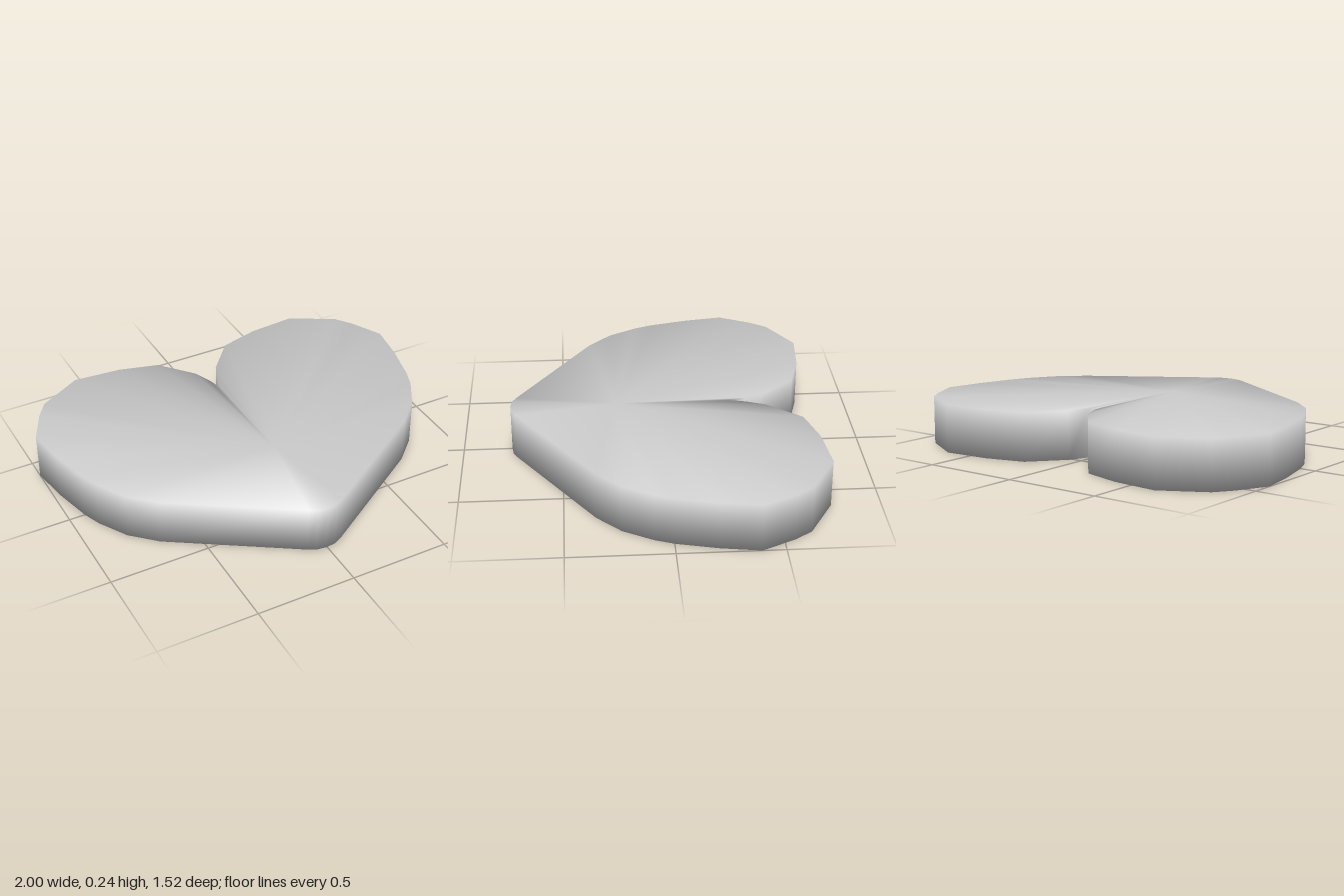
import * as THREE from 'three';

const HEIGHT = 0.24;

// Half outline of the heart as [x, z], from the notch at the back to the front tip
const half = [
  [0, -0.33], [0.02, -0.42], [0.06, -0.52], [0.2, -0.685], [0.4, -0.74], [0.64, -0.76],
  [0.86, -0.635], [0.92, -0.55], [1, -0.39], [0.97, -0.2], [0.92, 0], [0.885, 0.09],
  [0.8, 0.235], [0.68, 0.35], [0.09, 0.73], [0.05, 0.75], [0, 0.757],
];

function heartGeometry() {
  // Mirror the inner points to close the loop
  const mirrored = half.slice(1, -1).reverse().map(([x, z]) => [-x, z]);
  const outline = [...half, ...mirrored];
  const n = outline.length;
  const positions = [];
  const indices = [];

  // Top ring, bottom ring, then the two cap centres
  for (const y of [HEIGHT, 0]) {
    for (const [x, z] of outline) positions.push(x, y, z);
  }
  positions.push(0, HEIGHT, 0.23, 0, 0, 0.23);
  const topCentre = 2 * n;
  const bottomCentre = 2 * n + 1;

  for (let a = 0; a < n; a++) {
    const b = (a + 1) % n;
    indices.push(topCentre, b, a);
    indices.push(bottomCentre, n + a, n + b);
    indices.push(a, b, n + b, a, n + b, n + a);
  }

  // Rings are shared by caps and wall, giving soft shading over the rim
  const geometry = new THREE.BufferGeometry();
  geometry.setAttribute('position', new THREE.Float32BufferAttribute(positions, 3));
  geometry.setIndex(indices);
  geometry.computeVertexNormals();
  return geometry;
}

export function createModel() {
  const group = new THREE.Group();
  group.name = 'heart';
  const body = new THREE.Mesh(heartGeometry(), new THREE.MeshStandardMaterial({ color: 0xcccccc }));
  body.name = 'heartBody';
  group.add(body);
  return group;
}
